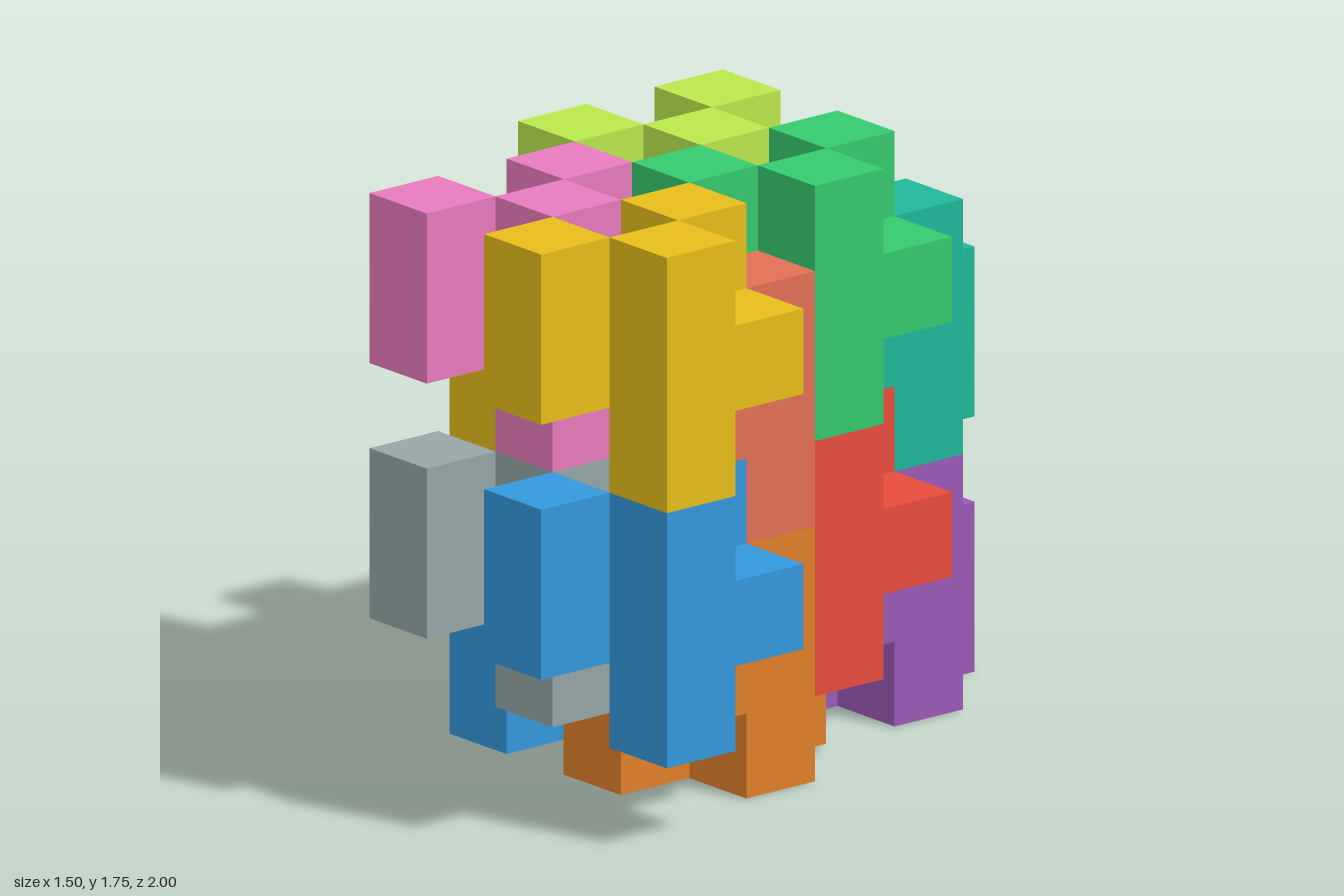
import * as THREE from 'three';
import { mergeGeometries } from 'three/addons/utils/BufferGeometryUtils.js';

const S = 0.25; // edge of one cube

// The nine cubes of a block, counted from the middle of its three-high column
const CUBES = [
  [0, -1, 0], [0, 0, 0], [0, 1, 0],
  [-1, 0, 0], [0, 0, -1],
  [-1, 0, -1], [-1, 1, -1],
  [-1, 0, 1], [-1, 1, 1],
];

// One square per exposed cube side, turned to face each direction
function blockGeometry() {
  const filled = new Set(CUBES.map(String));
  const forward = new THREE.Vector3(0, 0, 1);
  const faces = [];
  for (const [x, y, z] of CUBES) {
    for (const axis of [0, 1, 2]) {
      for (const sign of [-1, 1]) {
        const d = [0, 0, 0];
        d[axis] = sign;
        if (filled.has(String([x + d[0], y + d[1], z + d[2]]))) continue;
        const dir = new THREE.Vector3(...d);
        const turn = axis === 2 && sign < 0
          ? new THREE.Quaternion(0, 1, 0, 0)
          : new THREE.Quaternion().setFromUnitVectors(forward, dir);
        const face = new THREE.PlaneGeometry(S, S).translate(0, 0, S / 2);
        faces.push(face.applyQuaternion(turn).translate(x * S, y * S, z * S));
      }
    }
  }
  return mergeGeometries(faces);
}

// Column cell (x, z), whether the block is flipped over, lower and upper colours
const STACKS = [
  ['frontLeft', 5, 6, false, 0x3498db, 0xe6bd1a],
  ['frontMiddle', 3, 6, false, 0x95a5a6, 0xe87bbc],
  ['backLeft', 4, 3, false, 0xe74c3c, 0x36c96f],
  ['middleRight', 2, 3, false, 0x34495e, 0xbae84d],
  ['middleLeft', 4, 4, true, 0xe07f2a, 0xe17055],
  ['frontRight', 2, 4, true, 0x3498db, 0xe6bd1a],
  ['backMiddle', 3, 1, true, 0x9b59b6, 0x20b899],
  ['backRight', 1, 1, true, 0xe74c3c, 0x36c96f],
];

export function createModel() {
  const model = new THREE.Group();
  model.name = 'interlockingBlocks';
  const geometry = blockGeometry();

  for (const [name, cx, cz, flipped, lower, upper] of STACKS) {
    const stack = new THREE.Group();
    stack.name = `${name}Stack`;
    [lower, upper].forEach((color, layer) => {
      const block = new THREE.Mesh(geometry, new THREE.MeshStandardMaterial({ color }));
      block.name = `${name}${layer ? 'Upper' : 'Lower'}Block`;
      // Flipped blocks sit one cube lower and lock into the upright ones
      block.position.set(
        (cx - 2.5) * S,
        (layer * 3 + (flipped ? 1.5 : 2.5)) * S,
        (cz - 3.5) * S,
      );
      if (flipped) block.rotation.x = Math.PI;
      stack.add(block);
    });
    model.add(stack);
  }
  return model;
}
